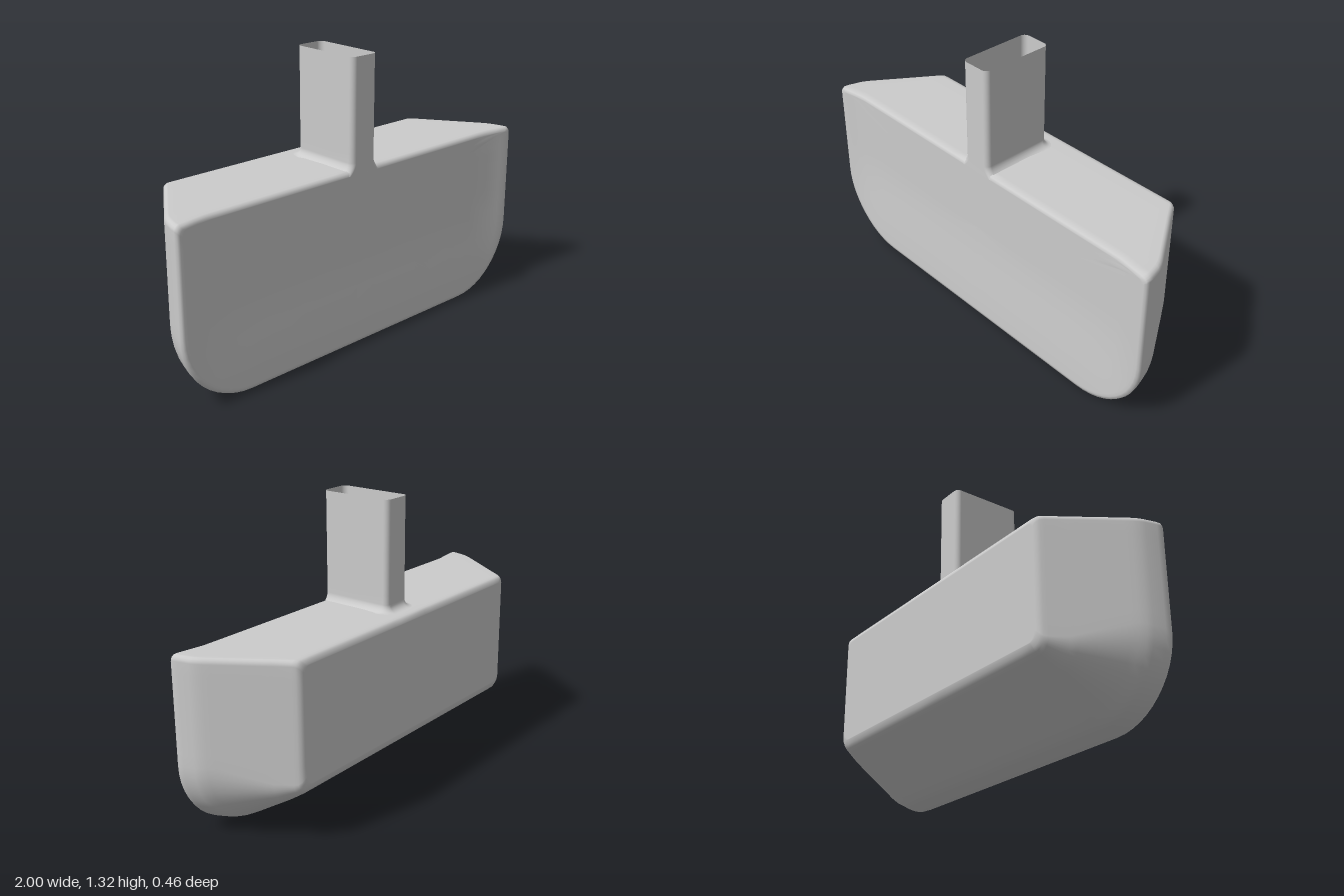
import * as THREE from 'three';

const TOP = 0.825;
const NECK = { x: 0.072, front: 0.212, back: -0.14, top: 1.325 };
const HOLE = 0.09;
const smooth = THREE.MathUtils.smoothstep;

// Skin a list of closed rings (each clockwise when seen from the first ring's side)
function loft(rings, skip = () => false) {
  const n = rings[0].length, index = [];
  for (let i = 0; i < rings.length - 1; i++) {
    for (let j = 0; j < n; j++) {
      const k = (j + 1) % n;
      if (skip(rings[i][j], rings[i][k], rings[i + 1][j])) continue;
      const a = i * n + j, b = i * n + k, c = a + n, d = b + n;
      index.push(a, b, d, a, d, c);
    }
  }
  const geo = new THREE.BufferGeometry().setFromPoints(rings.flat());
  geo.setIndex(index);
  geo.computeVertexNormals();
  return geo;
}

// Body section: flat top with tight corners, bottom corners of radius r
function section(z, w, bottom, r, top = TOP) {
  const half = [], rt = 0.025, add = (x, y) => half.push(new THREE.Vector3(x, y, z));
  const arc = (cx, cy, rad, from, steps) => {
    for (let i = 0; i <= steps; i++) {
      const a = from - (i / steps) * Math.PI / 2;
      add(cx + rad * Math.cos(a), cy + rad * Math.sin(a));
    }
  };
  for (let i = 0; i < 14; i++) add(THREE.MathUtils.lerp(HOLE, w - rt, i / 14), top);
  arc(w - rt, top - rt, rt, Math.PI / 2, 4);
  for (let i = 1; i < 8; i++) add(w, THREE.MathUtils.lerp(top - rt, bottom + r, i / 8));
  arc(w - r, bottom + r, r, 0, 12);
  for (let i = 1; i < 10; i++) add((w - r) * (1 - i / 10) + 0.02 * i / 10, bottom);
  const mirrored = half.map(p => new THREE.Vector3(-p.x, p.y, p.z)).reverse();
  return [...half, ...mirrored];
}

const shrink = (ring, s) => ring.map(p => new THREE.Vector3(p.x * s, 0.5 + (p.y - 0.5) * s, p.z));

function bodyGeometry() {
  const walls = [
    section(0.23, 0.982, 0.018, 0.33, TOP - 0.018),
    section(0.226, 0.993, 0.006, 0.335, TOP - 0.006),
    section(0.213, 0.998, 0.001, 0.34),
    section(0.19, 0.995, 0.004, 0.34),
    section(0.14, 0.982, 0.013, 0.335),
    section(0.115, 0.972, 0.022, 0.33),
    section(0.09, 0.958, 0.036, 0.32),
  ];
  // Straight taper towards the back
  for (let i = 1; i <= 8; i++) {
    const t = i / 8, z = 0.09 + (-0.13 - 0.09) * t;
    walls.push(section(z, 0.958 - 0.147 * t, 0.036 + 0.147 * t, 0.32 - 0.21 * t));
  }
  walls.push(
    section(-0.2, 0.765, 0.232, 0.06),
    section(-0.215, 0.755, 0.245, 0.05, TOP - 0.002),
    section(-0.226, 0.745, 0.26, 0.045, TOP - 0.009),
    section(-0.232, 0.73, 0.28, 0.04, TOP - 0.025),
  );
  const scales = [0, 0.15, 0.3, 0.45, 0.6, 0.75, 0.87, 0.95, 0.985];
  const front = scales.map(s => shrink(walls[0], s));
  const back = scales.map(s => shrink(walls.at(-1), s)).reverse();
  const rings = [...front, ...walls, ...back];

  // Slight dish in the front face, deepest along its upper middle
  for (const p of rings.flat()) {
    const side = smooth(1 - Math.abs(p.x), 0.01, 0.18);
    p.z -= 0.02 * side * smooth(p.y, 0, 0.5) * smooth(p.z, 0.09, 0.2);
  }
  // Opening under the neck
  const open = (a, b, c) => a.y > TOP - 0.001 && c.y > TOP - 0.001 &&
    Math.abs(a.x) < HOLE + 0.001 && Math.abs(b.x) < HOLE + 0.001 && c.z > -0.135;
  return loft(rings, open);
}

// Rounded rectangle ring of the neck, spread outwards by flare but kept flush at the front
function neckRing(y, flare, frontY = y) {
  const ring = [], r = 0.025 + flare;
  const hx = NECK.x + flare, zb = NECK.back - flare, zf = NECK.front;
  const corners = [[hx - r, zb + r, -90, r], [hx - 0.025, zf - 0.025, 0, 0.025],
    [-hx + 0.025, zf - 0.025, 90, 0.025], [-hx + r, zb + r, 180, r]];
  for (const [cx, cz, start, rad] of corners) {
    for (let i = 0; i <= 6; i++) {
      const a = THREE.MathUtils.degToRad(start + i * 15);
      const z = cz + rad * Math.sin(a);
      ring.push(new THREE.Vector3(cx + rad * Math.cos(a), z > 0.18 ? frontY : y, z));
    }
  }
  return ring;
}

function neckGeometry() {
  const rings = [neckRing(NECK.top, 0), neckRing(1.1, 0), neckRing(0.9, 0)];
  // Fillet where the neck meets the body
  const f = 0.033;
  for (let i = 0; i <= 6; i++) {
    const a = (i / 6) * Math.PI / 2;
    const y = TOP + 0.001 + f * (1 - Math.sin(a));
    rings.push(neckRing(y, f * (1 - Math.cos(a)), y - 0.022 * (i / 6) ** 2));
  }
  return loft(rings);
}

export function createModel() {
  const material = new THREE.MeshStandardMaterial({ color: 0xcccccc, side: THREE.DoubleSide });
  const group = new THREE.Group();
  const add = (name, geometry) => {
    const mesh = new THREE.Mesh(geometry, material);
    mesh.name = name;
    group.add(mesh);
  };
  add('hollowBody', bodyGeometry());
  add('openNeck', neckGeometry());
  return group;
}
